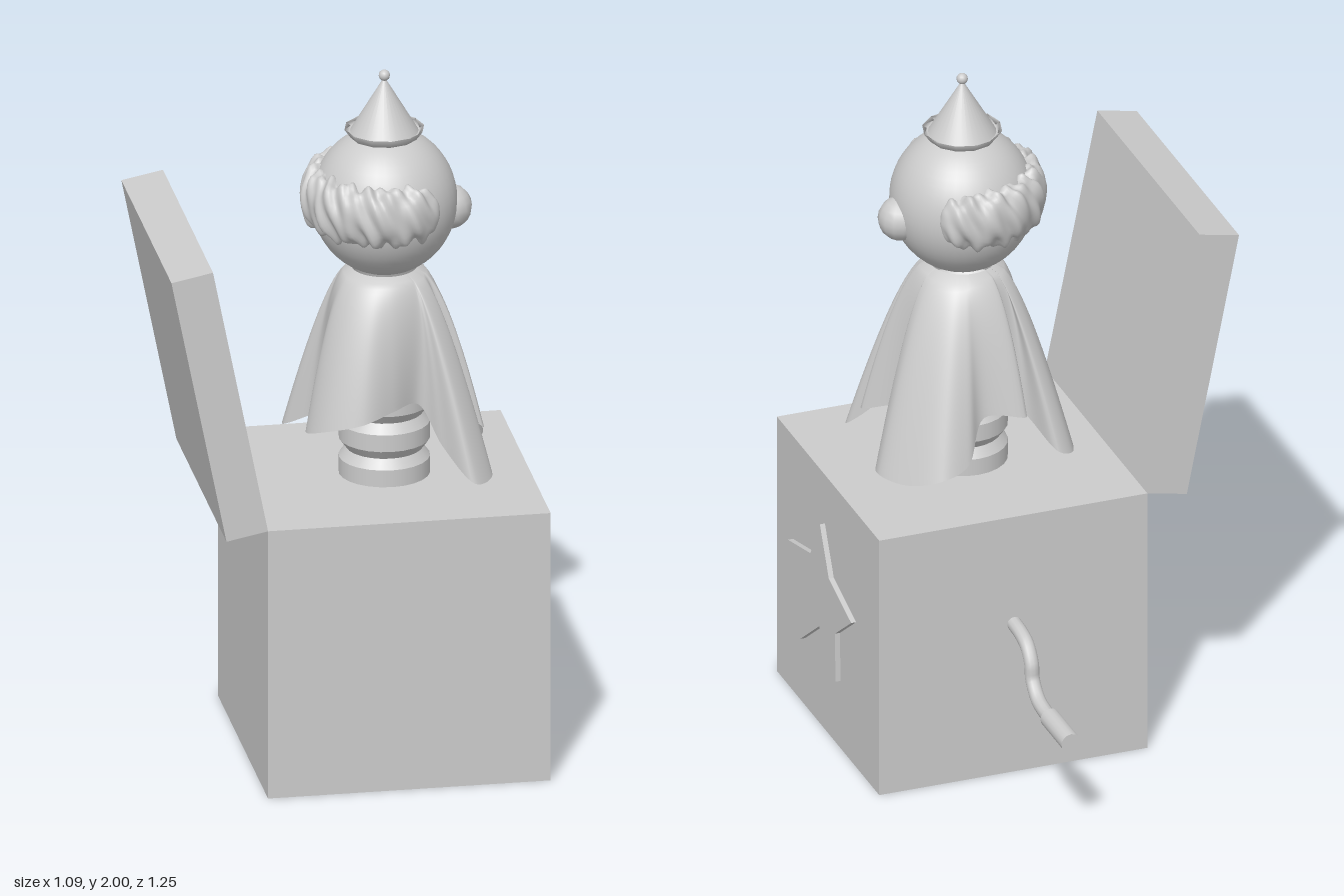
import * as THREE from 'three';
import { mergeVertices } from 'three/addons/utils/BufferGeometryUtils.js';
import { ParametricGeometry } from 'three/addons/geometries/ParametricGeometry.js';

const CX = 0.13, CZ = 0.225; // axis of box and puppet
const grey = new THREE.MeshStandardMaterial({ color: 0xcccccc });
const greyThin = new THREE.MeshStandardMaterial({ color: 0xcccccc, side: THREE.DoubleSide });

// Smooth surface from a rule, welded across its seam
function surface(rule, nu, nv) {
  const g = new ParametricGeometry(rule, nu, nv);
  g.deleteAttribute('uv');
  g.deleteAttribute('normal');
  const welded = mergeVertices(g, 1e-4);
  welded.computeVertexNormals();
  return welded;
}

const lathe = (pts, segments) =>
  new THREE.LatheGeometry(pts.map(([r, y]) => new THREE.Vector2(r, y)), segments);

export function createModel() {
  const model = new THREE.Group();
  function add(name, geometry, x = 0, y = 0, z = 0, material = grey, parent = model) {
    const mesh = new THREE.Mesh(geometry, material);
    mesh.name = name;
    mesh.position.set(x, y, z);
    parent.add(mesh);
    return mesh;
  }

  // Box with a shallow rounded recess in its top
  const depth = 0.07;
  add('boxBody', new THREE.BoxGeometry(0.8, 0.8 - depth, 0.8), CX, (0.8 - depth) / 2, CZ);
  const rim = new THREE.Shape([[-1, -1], [1, -1], [1, 1], [-1, 1]].map(([x, y]) => new THREE.Vector2(x * 0.4, y * 0.4)));
  const hole = new THREE.Path();
  const h = 0.335, c = 0.066;
  [[1, 1], [-1, 1], [-1, -1], [1, -1]].forEach(([sx, sy], i) =>
    hole.absarc(sx * (h - c), sy * (h - c), c, i * Math.PI / 2, (i + 1) * Math.PI / 2, false));
  hole.closePath();
  const rimGeo = new THREE.ExtrudeGeometry(rim, { depth, bevelEnabled: false, curveSegments: 2 });
  rimGeo.rotateX(-Math.PI / 2);
  add('boxRim', rimGeo, CX, 0.8 - depth, CZ);

  // Open lid, leaning back on its hinge
  const lid = new THREE.Group();
  lid.name = 'lid';
  lid.position.set(-0.27, 0.8, CZ);
  lid.rotation.z = 0.196;
  model.add(lid);
  add('lidPanel', new THREE.BoxGeometry(0.12, 0.8, 0.8), -0.06, 0.4, 0, grey, lid);

  // Raised star on the side, drawn as (z, y)
  const star = new THREE.Shape([
    [0.25, 0.647], [0.18, 0.51], [0.005, 0.456], [0.133, 0.36], [0.127, 0.212],
    [0.255, 0.324], [0.403, 0.212], [0.366, 0.382], [0.499, 0.477], [0.324, 0.52],
  ].map(([z, y]) => new THREE.Vector2(-z, y)));
  const starGeo = new THREE.ExtrudeGeometry(star, { depth: 0.02, bevelEnabled: false });
  starGeo.rotateY(Math.PI / 2);
  add('star', starGeo, 0.525);

  // Crank and its handle
  const crankPath = new THREE.CatmullRomCurve3([
    [0.465, -0.17], [0.46, -0.23], [0.446, -0.276], [0.405, -0.31], [0.36, -0.318],
    [0.318, -0.36], [0.306, -0.41], [0.305, -0.47],
  ].map(([y, z]) => new THREE.Vector3(0.127, y, z)));
  add('crank', new THREE.TubeGeometry(crankPath, 28, 0.021, 12), 0, 0, 0, greyThin);
  const handle = add('crankHandle', new THREE.CylinderGeometry(0.029, 0.029, 0.165, 16), 0.127, 0.305, -0.538);
  handle.rotation.x = Math.PI / 2;

  // Bellows body: straight bands joined by sloping ones
  for (let i = 0; i < 6; i++) {
    const y = 0.72 + i * 0.105;
    add('bellowsBand', new THREE.CylinderGeometry(0.128, 0.128, 0.05, 24, 1, true), CX, y - 0.02 + 0.2 * 0.1, CZ, greyThin);
    add('bellowsFoldLower', new THREE.CylinderGeometry(0.108, 0.128, 0.0275, 24, 1, true), CX, y + 0.03875, CZ, greyThin);
    add('bellowsFoldUpper', new THREE.CylinderGeometry(0.128, 0.108, 0.0275, 24, 1, true), CX, y + 0.06625, CZ, greyThin);
  }

  // Draped cloak: a wavy hem (x, y, z) blended up into the neck
  const hem = new THREE.CatmullRomCurve3([
    [0.415, 0.86, 0.15], [0.31, 1.0, 0.19], [0.395, 0.95, 0.325], [0.28, 1.03, 0.30],
    [0.36, 0.91, 0.37], [0.40, 0.85, 0.43], [0.34, 0.85, 0.495], [0.26, 0.94, 0.42],
    [0.20, 1.05, 0.37], [0.12, 1.05, 0.42], [0.03, 1.03, 0.455], [-0.07, 1.0, 0.41],
    [-0.11, 0.97, 0.32], [-0.04, 1.0, 0.22], [-0.06, 0.94, 0.12], [-0.125, 0.89, 0.05],
    [-0.11, 0.88, -0.01], [-0.06, 0.9, -0.03], [0.0, 0.98, 0.06], [0.05, 1.03, 0.07],
    [0.03, 1.02, -0.02], [0.15, 1.03, 0.0], [0.22, 0.92, -0.06], [0.30, 0.89, -0.068],
    [0.38, 0.86, 0.0], [0.43, 0.86, 0.09],
  ].map((p) => new THREE.Vector3(...p)), true, 'centripetal');
  const cloak = surface((u, s, target) => {
    const p = hem.getPoint(u % 1);
    const dx = p.x - CX, dz = p.z - CZ;
    const fold = Math.pow(s, 0.7);
    const spread = 0.35 + 0.65 * Math.pow(s, 0.52);
    const k = spread * (fold + (1 - fold) * 0.26 / Math.hypot(dx, dz));
    target.set(CX + dx * k, 1.415 - s * (1.415 - p.y), CZ + dz * k);
  }, 208, 32);
  add('cloak', cloak, 0, 0, 0, greyThin);

  // Head and nose, facing the star side
  add('head', new THREE.SphereGeometry(0.204, 40, 28), CX, 1.612, CZ).scale.y = 1.04;
  add('nose', new THREE.SphereGeometry(0.064, 14, 10), 0.314, 1.58, CZ);

  // Curly hair round the back of the head, with rounded ends
  const hair = surface((u, v, target) => {
    const a = THREE.MathUtils.degToRad(50 + 260 * u);
    const t = v * Math.PI * 2;
    const e = Math.abs(2 * u - 1);
    const end = Math.sqrt(Math.max(0, 1 - Math.pow(e, 12)));
    const curl = 1 + 0.13 * Math.sin(a * 17 + 1.3 * Math.sin(2 * t)) * Math.cos(3 * t + a * 2)
      + 0.07 * Math.sin(a * 29 + 4 * t);
    const r = 0.187 + 0.046 * Math.cos(t) * end * curl;
    target.set(CX + r * Math.cos(a), 1.63 - 0.083 * Math.sin(t) * end * curl, CZ + r * Math.sin(a));
  }, 160, 32);
  add('hair', hair, 0, 0, 0, greyThin);

  // Pointed hat with upturned brim and bobble
  add('hatBrim', lathe([[0.07, 1.803], [0.095, 1.803], [0.113, 1.828], [0.1, 1.82], [0.07, 1.815]], 12), CX, 0, CZ, greyThin);
  add('hatCone', new THREE.ConeGeometry(0.098, 0.165, 32), CX, 1.8975, CZ);
  add('hatBobble', new THREE.SphereGeometry(0.016, 14, 10), CX, 1.984, CZ);

  return model;
}
